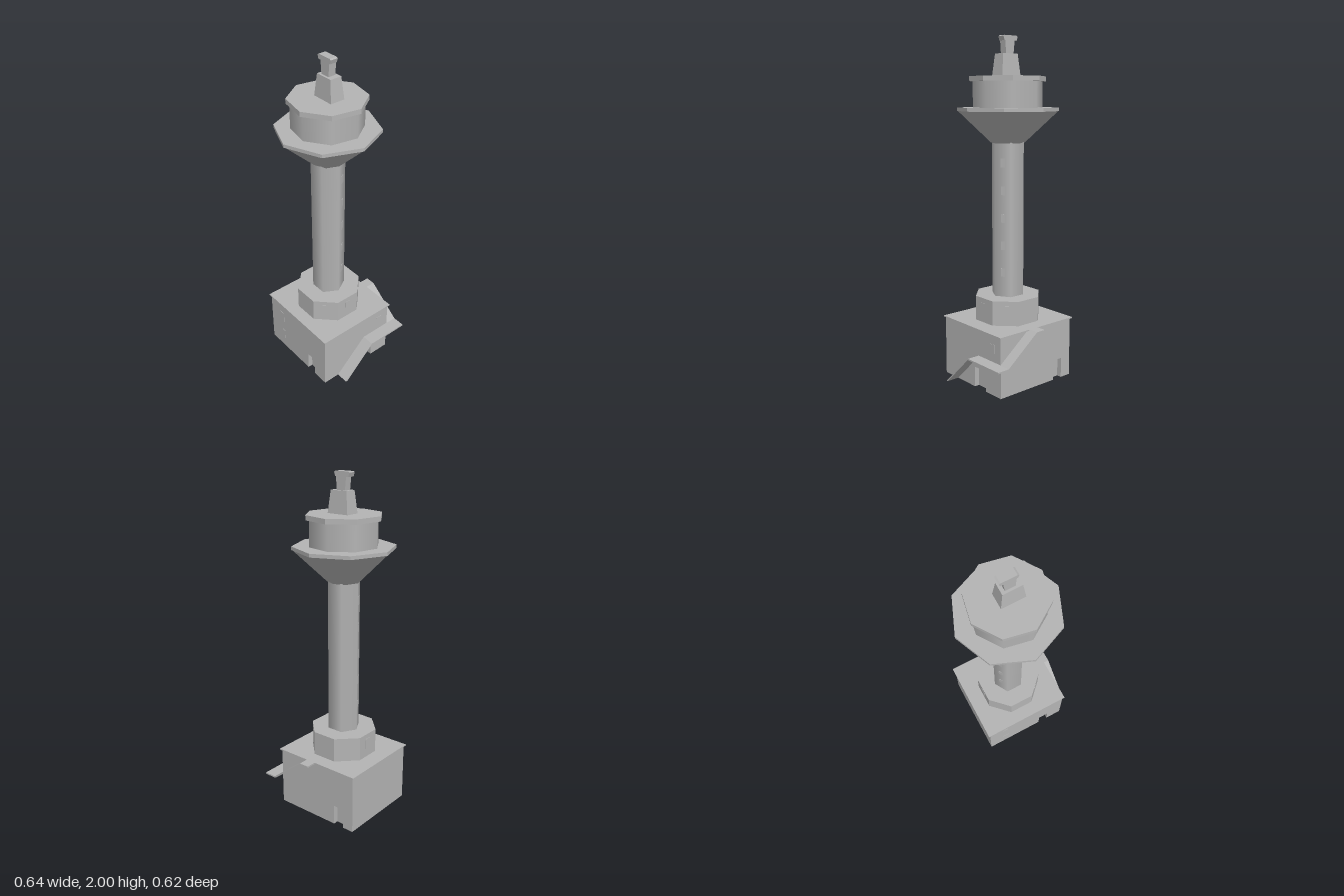
import * as THREE from 'three';

export function createModel() {
  const model = new THREE.Group();
  const grey = new THREE.MeshStandardMaterial({ color: 0xb4b4b4 });
  grey.name = 'concrete grey';
  const CX = -0.03, CZ = 0.016; // tower axis

  function add(name, geometry, x = 0, y = 0, z = 0, turn = 0) {
    const mesh = new THREE.Mesh(geometry, grey);
    mesh.name = name;
    mesh.position.set(x, y, z);
    mesh.rotation.y = turn;
    model.add(mesh);
    return mesh;
  }

  // box given by its min and max corners
  function block(name, x0, x1, y0, y1, z0, z1) {
    return add(name, new THREE.BoxGeometry(x1 - x0, y1 - y0, z1 - z0),
      (x0 + x1) / 2, (y0 + y1) / 2, (z0 + z1) / 2);
  }

  // many-sided ring of the tower between two heights
  function ring(name, rBottom, rTop, y0, y1, sides, turn = 0, flat = false) {
    let g = new THREE.CylinderGeometry(rTop, rBottom, y1 - y0, sides);
    if (flat) {
      g = g.toNonIndexed();
      g.computeVertexNormals();
    }
    return add(name, g, CX, (y0 + y1) / 2, CZ, turn);
  }

  function extrude(points, depth) {
    const shape = new THREE.Shape(points.map(([a, b]) => new THREE.Vector2(a, b)));
    return new THREE.ExtrudeGeometry(shape, { depth, bevelEnabled: false });
  }

  // ground storey: floor plan (x, -z) with three recessed doorways
  const x0 = -0.3, x1 = 0.243, z0 = -0.24, z1 = 0.27, d = 0.03, doorTop = 0.12;
  const plan = extrude([
    [x0, -z1], [0.075, -z1], [0.075, -z1 + d], [0.14, -z1 + d], [0.14, -z1], [x1, -z1],
    [x1, 0.01], [x1 - d, 0.01], [x1 - d, 0.11], [x1, 0.11], [x1, -z0],
    [-0.165, -z0], [-0.165, -z0 - d], [-0.23, -z0 - d], [-0.23, -z0], [x0, -z0],
  ], doorTop);
  plan.rotateX(-Math.PI / 2);
  add('baseWithDoorways', plan);
  block('baseUpperWalls', x0, x1, doorTop, 0.355, z0, z1);
  block('baseRoof', -0.311, 0.253, 0.353, 0.36, -0.25, 0.278);

  // base windows
  for (const y of [0.07, 0.22]) block('baseWindow', -0.21, -0.165, y, y + 0.067, z1 - 0.002, z1 + 0.002);
  block('sideWindow', x1 - 0.002, x1 + 0.002, 0.25, 0.3, -0.19, -0.15);

  // side flight with its landing: profile (z, y)
  const t = 0.009;
  add('sideStair', extrude([
    [0.165, 0], [-0.045, 0.198], [-0.31, 0.198], [-0.31, 0.198 - t],
    [-0.041, 0.198 - t], [0.153, 0],
  ], 0.08), 0.32, 0, 0, -Math.PI / 2);

  // rear flight up to the roof: profile (x, y)
  add('rearStair', extrude([
    [0.245, 0.198], [0.035, 0.36], [-0.025, 0.36], [-0.025, 0.36 - t],
    [0.032, 0.36 - t], [0.24, 0.198 - t],
  ], 0.07), 0, 0, -0.31);

  // octagonal collar with windows
  ring('collar', 0.1975, 0.1975, 0.36, 0.505, 8, Math.PI / 8, true);
  for (const k of [1, 2, 3, 6]) {
    const a = k * Math.PI / 4;
    add('collarWindow', new THREE.BoxGeometry(0.04, 0.065, 0.004),
      CX + 0.1825 * Math.sin(a), 0.443, CZ + 0.1825 * Math.cos(a), a);
  }

  // shaft with slit windows
  ring('shaft', 0.097, 0.097, 0.5, 1.41, 6, Math.PI / 2);
  for (const a of [Math.PI * 2 / 3, Math.PI * 5 / 3]) {
    for (let i = 0; i < 5; i++) {
      add('shaftWindow', new THREE.BoxGeometry(0.025, 0.05, 0.004),
        CX + 0.084 * Math.sin(a), 0.65 + i * 0.16, CZ + 0.084 * Math.cos(a), a);
    }
  }

  // gallery, cabin and cap
  ring('galleryCone', 0.097, 0.29, 1.4, 1.582, 8);
  ring('galleryRim', 0.293, 0.293, 1.58, 1.6, 8, 0, true);
  const twist = Math.PI / 16;
  ring('cabin', 0.2, 0.2, 1.6, 1.75, 8, twist);
  ring('cabinRoof', 0.219, 0.219, 1.747, 1.775, 8, twist, true);

  // tapered pedestal
  const pedestal = new THREE.BoxGeometry(0.137, 0.127, 0.09).toNonIndexed();
  const p = pedestal.attributes.position;
  for (let i = 0; i < p.count; i++) {
    if (p.getY(i) > 0) p.setXYZ(i, p.getX(i) * 0.79, p.getY(i), p.getZ(i) * 0.78);
  }
  pedestal.computeVertexNormals();
  add('pedestal', pedestal, -0.0185, 1.8365, 0.015);

  // beacon: flared neck and wide head
  add('beacon', extrude([
    [-0.052, 1.895], [0.003, 1.895], [0.009, 1.972], [0.015, 1.972], [0.022, 1.995], [0.013, 2],
    [-0.074, 2], [-0.083, 1.995], [-0.076, 1.972], [-0.06, 1.972],
  ], 0.045), 0, 0, -0.008);

  return model;
}
